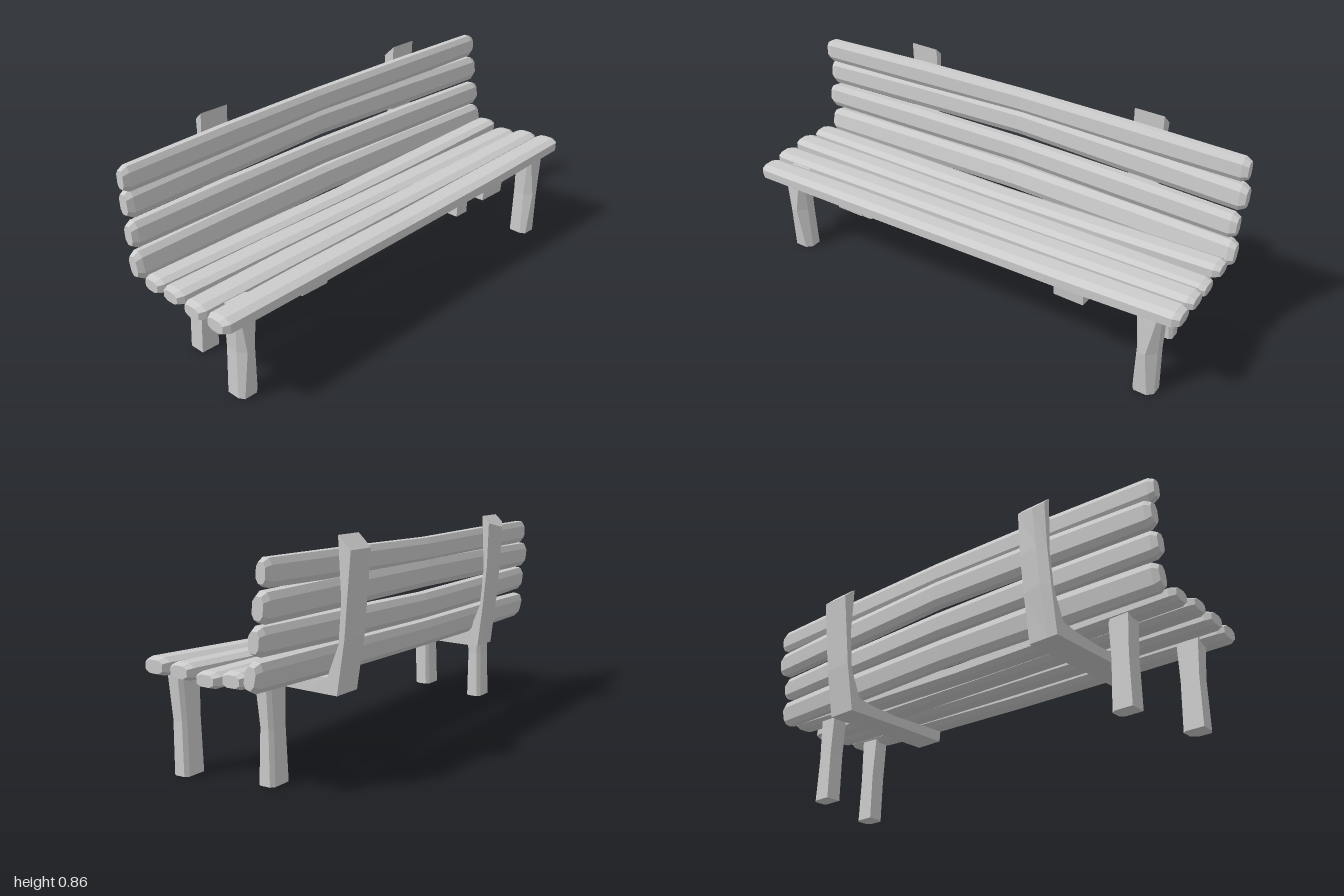
import * as THREE from 'three';

const material = new THREE.MeshStandardMaterial({ color: 0xcccccc, flatShading: true });

// Skin a list of equal-length rings (counter-clockwise about the travel direction), capped at both ends
function loft(name, rings) {
  const n = rings[0].length;
  const index = [];
  for (let i = 0; i < rings.length - 1; i++) {
    for (let j = 0; j < n; j++) {
      const a = i * n + j, b = i * n + (j + 1) % n;
      index.push(a, b, a + n, b, b + n, a + n);
    }
  }
  const last = (rings.length - 1) * n;
  for (let j = 1; j < n - 1; j++) {
    index.push(0, j + 1, j, last, last + j, last + j + 1);
  }
  const indexed = new THREE.BufferGeometry();
  indexed.setAttribute('position', new THREE.Float32BufferAttribute(rings.flat(2), 3));
  indexed.setIndex(index);
  const geometry = indexed.toNonIndexed();
  geometry.computeVertexNormals();
  const mesh = new THREE.Mesh(geometry, material);
  mesh.name = name;
  return mesh;
}

// Chamfered plank along x; left, middle and right give the centre as [z, y]
function slat(name, minX, maxX, [right, middle, left], height, depth, tilt) {
  const section = [
    [1, -0.5], [1, 0.5], [0.55, 1], [-0.55, 1],
    [-1, 0.5], [-1, -0.5], [-0.55, -1], [0.55, -1],
  ];
  // x, blend from middle towards the end, section scale
  const stations = [
    [minX, 1, 0.7], [minX + 0.025, 1, 0.96], [-0.5, 0.45, 1.02], [0, 0, 0.98],
    [0.5, 0.45, 1.02], [maxX - 0.025, 1, 0.96], [maxX, 1, 0.7],
  ];
  const c = Math.cos(tilt), s = Math.sin(tilt);
  const rings = stations.map(([x, t, scale]) => {
    const end = x < 0 ? right : left;
    const z0 = THREE.MathUtils.lerp(middle[0], end[0], t);
    const y0 = THREE.MathUtils.lerp(middle[1], end[1], t);
    return section.map(([u, v]) => {
      const y = u * scale * height / 2, z = v * scale * depth / 2;
      return [x, y0 + y * c + z * s, z0 - y * s + z * c];
    });
  });
  return loft(name, rings);
}

// Hewn leg with one chamfered corner and a slight bow; side is +1 or -1
function leg(name, x, side, front) {
  // y, back z, front z, half width, chamfer
  const levels = front
    ? [[0, 0.187, 0.265, 0.045, 0.022], [0.2, 0.193, 0.28, 0.042, 0.035], [0.39, 0.2, 0.272, 0.05, 0.012]]
    : [[0, -0.138, -0.07, 0.045, 0.012], [0.2, -0.132, -0.064, 0.04, 0.025], [0.385, -0.128, -0.06, 0.047, 0.01]];
  const rings = levels.map(([y, back, fore, w, ch]) => {
    const ring = [
      [x - w, y, back], [x - w, y, fore - (side < 0 ? 0 : ch)],
      [x - w + (side < 0 ? ch : 0.6 * ch), y, fore],
      [x + w - ch, y, fore], [x + w, y, fore - ch],
      [x + w, y, back + 0.012], [x + w - 0.015, y, back],
    ];
    return ring;
  });
  return loft(name, rings);
}

// Bent bracket running under the seat and up behind the backrest
function bracket(name, bottomX, topX, ridge) {
  // inner z, y and outer z, y
  const path = [
    [0.275, 0.355, 0.27, 0.305], [0, 0.342, 0, 0.3], [-0.14, 0.348, -0.14, 0.297],
    [-0.215, 0.36, -0.255, 0.295], [-0.265, 0.48, -0.29, 0.5],
    [-0.28, 0.64, -0.305, 0.65], [-0.27, 0.862, -0.322, 0.812],
  ];
  const rings = path.map(([iz, iy, oz, oy], i) => {
    const x = THREE.MathUtils.lerp(bottomX, topX, i / (path.length - 1));
    const w = 0.063;
    const cut = ridge && i > 3 ? 0.4 : 0;
    const ez = THREE.MathUtils.lerp(oz, iz, cut), ey = THREE.MathUtils.lerp(oy, iy, cut);
    return [[x - w, ey, ez], [x - w, iy, iz], [x + w, iy, iz], [x + w, ey, ez], [x - 0.02, oy, oz]];
  });
  return loft(name, rings);
}

export function createModel() {
  const bench = new THREE.Group();
  bench.name = 'bench';

  // Seat: four slats, front to back, centres from the right end to the left end
  const seat = new THREE.Group();
  seat.name = 'seat';
  [
    [-0.985, 0.985, [[0.268, 0.368], [0.243, 0.37], [0.248, 0.41]], 0.068, 0.112],
    [-0.995, 0.985, [[0.155, 0.375], [0.127, 0.375], [0.133, 0.405]], 0.064, 0.108],
    [-0.995, 0.98, [[0.038, 0.385], [0.02, 0.38], [0.02, 0.388]], 0.06, 0.106],
    [-0.99, 0.985, [[-0.08, 0.378], [-0.093, 0.376], [-0.098, 0.402]], 0.062, 0.1],
  ].forEach(([a, b, centres, h, d], i) => seat.add(slat(`seatSlat${i + 1}`, a, b, centres, h, d, 0)));

  // Backrest: four slats, bottom to top
  const backrest = new THREE.Group();
  backrest.name = 'backrest';
  [
    [-0.985, 0.995, [[-0.19, 0.41], [-0.213, 0.418], [-0.187, 0.425]], 0.112, 0.062, 0.22],
    [-0.99, 0.985, [[-0.193, 0.537], [-0.232, 0.535], [-0.197, 0.542]], 0.105, 0.062, 0.1],
    [-0.985, 0.995, [[-0.21, 0.652], [-0.247, 0.667], [-0.225, 0.656]], 0.11, 0.064, 0.1],
    [-0.995, 0.985, [[-0.198, 0.756], [-0.25, 0.757], [-0.232, 0.768]], 0.1, 0.054, 0.04],
  ].forEach(([a, b, centres, h, d, tilt], i) => backrest.add(slat(`backSlat${i + 1}`, a, b, centres, h, d, tilt)));

  // Legs and brackets
  bench.add(
    seat, backrest,
    leg('frontLegRight', -0.842, 1, true),
    leg('backLegRight', -0.755, -1, false),
    leg('frontLegLeft', 0.86, 1, true),
    leg('backLegLeft', 0.782, -1, false),
    bracket('bracketRight', -0.525, -0.515, true),
    bracket('bracketLeft', 0.535, 0.553, false),
  );
  return bench;
}
